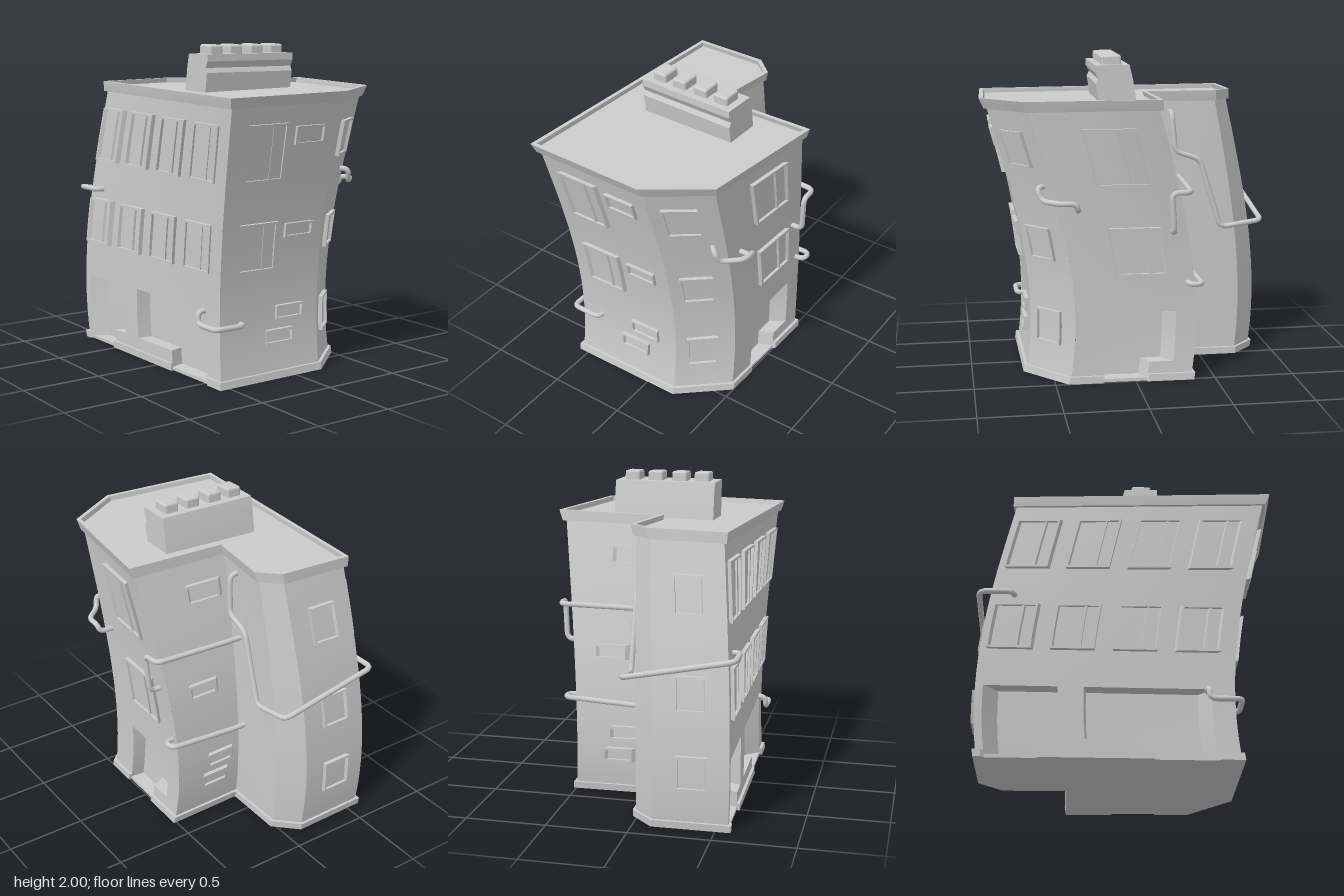
import * as THREE from 'three';
import { toCreasedNormals } from 'three/addons/utils/BufferGeometryUtils.js';
import { RoundedBoxGeometry } from 'three/addons/geometries/RoundedBoxGeometry.js';

const material = new THREE.MeshStandardMaterial({ color: 0xcccccc });

// Footprint corners [x, z] at ground and at cornice, counter-clockwise from above, front right corner first
const BASE = [[-.855, .575], [.665, .55], [.66, -.195], [.41, -.485], [-.345, -.5], [-.335, -.01], [-.735, -.01], [-.86, .12]];
const TOP = [[-.685, .505], [.85, .605], [.88, -.165], [.65, -.51], [-.12, -.61], [-.13, .025], [-.575, -.04], [-.67, .065]];
const N = BASE.length;
const [FRONT, LEFT, CHAMFER, BACK, NOTCH, , , RIGHT] = [0, 1, 2, 3, 4, 5, 6, 7];

// The bend: how far the footprint has moved from BASE to TOP at height y
const bend = y => -.8438 * y + 1.2847 * y * y - .2602 * y ** 3;

function plan(i, y) {
  const k = (i + N) % N, t = bend(y);
  return new THREE.Vector2(BASE[k][0] + (TOP[k][0] - BASE[k][0]) * t, BASE[k][1] + (TOP[k][1] - BASE[k][1]) * t);
}

// Corner i at height y, pushed out by d along its mitre
function corner(i, y, d) {
  const p = plan(i, y);
  const out = (a, b) => { const e = b.clone().sub(a).normalize(); return new THREE.Vector2(-e.y, e.x); };
  const n1 = out(plan(i - 1, y), p), n2 = out(p, plan(i + 1, y));
  p.addScaledVector(n1.clone().add(n2), d / (1 + n1.dot(n2)));
  return new THREE.Vector3(p.x, y + bend(y) * (-.012 * p.x - .018 * p.y), p.y);
}

// Point on a wall: u runs left to right seen from outside, d is outward
const onWall = (side, u, y, d) => corner(side, y, d).lerp(corner(side + 1, y, d), u);

const addQuad = (list, a, b, c, d) => list.push(a, b, c, a, c, d);

function meshFrom(points, name) {
  const geometry = toCreasedNormals(new THREE.BufferGeometry().setFromPoints(points), .35);
  const mesh = new THREE.Mesh(geometry, material);
  mesh.name = name;
  return mesh;
}

function subdivide(values, step) {
  const sorted = [...new Set(values)].sort((a, b) => a - b), result = [sorted[0]];
  for (let i = 1; i < sorted.length; i++) {
    const a = sorted[i - 1], b = sorted[i], n = Math.ceil((b - a) / step);
    for (let k = 1; k <= n; k++) result.push(a + (b - a) * k / n);
  }
  return result;
}

// Stepped relief on a wall: each cell lies at its own depth, with steps between cells
function relief(side, us, ys, depth, border, name) {
  const U = [...us].sort((a, b) => a - b), Y = subdivide(ys, .085), points = [];
  const P = (u, y, d) => onWall(side, u, y, d);
  const at = (i, j) => i < 0 || j < 0 || i > U.length - 2 || j > Y.length - 2
    ? border : depth((U[i] + U[i + 1]) / 2, (Y[j] + Y[j + 1]) / 2);
  const differ = (a, b) => a !== null && b !== null && a !== b;
  for (let i = 0; i < U.length; i++) for (let j = 0; j < Y.length; j++) {
    const here = at(i, j), before = at(i - 1, j), below = at(i, j - 1);
    const u = U[i], v = U[i + 1], y = Y[j], z = Y[j + 1];
    if (i < U.length - 1 && j < Y.length - 1)
      addQuad(points, P(u, y, here), P(v, y, here), P(v, z, here), P(u, z, here));
    if (j < Y.length - 1 && differ(before, here))
      addQuad(points, P(u, y, before), P(u, y, here), P(u, z, here), P(u, z, before));
    if (i < U.length - 1 && differ(below, here))
      addQuad(points, P(u, y, below), P(v, y, below), P(v, y, here), P(u, y, here));
  }
  return meshFrom(points, name);
}

// Wall with recessed openings [u0, u1, y0, y1]
function wall(side, openings) {
  const us = new Set([0, 1]), ys = [0, 1.7];
  for (const [a, b, c, d] of openings) { us.add(a).add(b); ys.push(c, d); }
  const depth = (u, y) => openings.some(([a, b, c, d]) => u > a && u < b && y > c && y < d) ? -.09 : 0;
  return relief(side, us, ys, depth, null, 'wall');
}

// Raised window frame with a pane and an optional mullion
function windowOn(side, u0, u1, y0, y1, mullion) {
  const f = .014, w = f / plan(side, y0).distanceTo(plan(side + 1, y0));
  const us = [u0, u0 + w, u1 - w, u1], m = u0 + (u1 - u0) * .66;
  if (mullion) us.push(m - w / 2, m + w / 2);
  const depth = (u, y) => u < u0 + w || u > u1 - w || y < y0 + f || y > y1 - f ? .026
    : mullion && Math.abs(u - m) < w / 2 ? .02 : .008;
  return relief(side, us, [y0, y0 + f, y1 - f, y1], depth, -.004, 'window');
}

// Bands around the whole footprint through successive [y, d] rings
function bands(rings, name) {
  const points = [];
  for (let r = 1; r < rings.length; r++) for (let i = 0; i < N; i++) {
    const [y0, d0] = rings[r - 1], [y1, d1] = rings[r];
    addQuad(points, corner(i, y0, d0), corner(i + 1, y0, d0), corner(i + 1, y1, d1), corner(i, y1, d1));
  }
  return meshFrom(points, name);
}

function cap(y, d, up, name) {
  const ring = BASE.map((_, i) => corner(i, y, d)), points = [];
  for (const [a, b, c] of THREE.ShapeUtils.triangulateShape(ring.map(p => new THREE.Vector2(p.x, -p.z)), []))
    points.push(ring[a], ring[up ? b : c], ring[up ? c : b]);
  return meshFrom(points, name);
}

// Tube along straight runs with rounded elbows
function pipe(coords) {
  const p = coords.map(c => new THREE.Vector3(...c)), path = new THREE.CurvePath();
  let from = p[0];
  for (let i = 1; i < p.length - 1; i++) {
    const near = q => p[i].clone().add(q.clone().sub(p[i]).setLength(Math.min(.045, p[i].distanceTo(q) * .45)));
    const a = near(p[i - 1]), b = near(p[i + 1]);
    path.add(new THREE.LineCurve3(from, a));
    path.add(new THREE.QuadraticBezierCurve3(a, p[i], b));
    from = b;
  }
  path.add(new THREE.LineCurve3(from, p[p.length - 1]));
  const mesh = new THREE.Mesh(new THREE.TubeGeometry(path, 90, .017, 10), material);
  mesh.name = 'pipe';
  return mesh;
}

function chimney() {
  const group = new THREE.Group();
  group.name = 'chimney';
  // Leaning stack with a shoulder
  const profile = [[-.04, 1.7], [.19, 1.7], [.21, 1.83], [.195, 1.86], [.217, 1.9], [.217, 1.943], [.005, 1.943], [-.015, 1.86]];
  const shape = new THREE.Shape(profile.map(q => new THREE.Vector2(...q)));
  const geometry = new THREE.ExtrudeGeometry(shape, { depth: .64, bevelEnabled: false });
  const stack = new THREE.Mesh(toCreasedNormals(geometry.translate(0, 0, -.32), .3), material);
  stack.name = 'chimneyStack';
  group.add(stack);
  // Four pots in a row
  for (const z of [-.225, -.075, .08, .225]) {
    const pot = new THREE.Mesh(new RoundedBoxGeometry(.125, .09, .097, 2, .015), material);
    pot.name = 'chimneyPot';
    pot.position.set(.112, 1.955, z);
    pot.rotation.z = -.04;
    group.add(pot);
  }
  group.rotation.y = -.03;
  return group;
}

export function createModel() {
  const model = new THREE.Group();
  model.name = 'crookedTownHouse';

  // Walls; shop fronts and back door are L-shaped recesses
  const openings = {
    [FRONT]: [[.03, .23, .02, .44], [.23, .315, .12, .44], [.415, .667, .12, .44], [.667, .91, .02, .44]],
    [BACK]: [[.27, .63, .02, .44], [.63, .83, .12, .44]],
  };
  const trimSpans = { [FRONT]: [[0, .03], [.23, .667], [.91, 1]], [BACK]: [[0, .27], [.63, 1]] };
  for (let side = 0; side < N; side++) {
    model.add(wall(side, openings[side] || []));
    for (const span of trimSpans[side] || [[0, 1]])
      model.add(relief(side, span, [0, .045], () => .018, 0, 'baseTrim'));
  }
  model.add(cap(0, 0, false, 'floor'));

  // Cornice, parapet and roof
  model.add(bands([[1.685, 0], [1.685, .018], [1.75, .03], [1.75, .004], [1.72, .004]], 'cornice'));
  model.add(cap(1.72, .004, true, 'roof'));

  // Large windows in two storeys
  for (const [y0, y1] of [[.675, .975], [1.23, 1.58]]) {
    for (let i = 0; i < 4; i++) model.add(windowOn(FRONT, .037 + .24 * i, .207 + .24 * i, y0, y1, true));
    model.add(windowOn(LEFT, .165, .52, y0, y1, true));
    model.add(windowOn(BACK, .36, .77, y0, y1, true));
  }
  // Plain windows
  for (const [y0, y1] of [[.225, .44], [.76, .965], [1.34, 1.56]]) model.add(windowOn(CHAMFER, .19, .7, y0, y1));
  for (const [y0, y1] of [[.25, .46], [.72, .93], [1.27, 1.5]]) model.add(windowOn(RIGHT, .3, .7, y0, y1));
  // Small vents: height, then start on the left wall and on the notch wall
  for (const [y0, y1, a, b] of [[.21, .3, .455, .42], [.355, .445, .555, .5], [.865, .955, .6, .32], [1.44, 1.555, .6, .52]]) {
    model.add(windowOn(LEFT, a, a + .27, y0, y1));
    model.add(windowOn(NOTCH, b, b + .4, y0, y1));
  }

  model.add(chimney());

  // Pipes that wrap around the corners
  model.add(pipe([[.48, .44, .5], [.48, .44, .59], [.49, .365, .595], [.675, .365, .595], [.675, .365, .39], [.6, .365, .39]]));
  model.add(pipe([[-.3, 1.62, .06], [-.3, 1.62, -.05], [-.32, 1.37, -.06], [-.48, 1.32, -.065], [-.62, .87, -.065],
    [-.89, .91, -.06], [-.885, 1.04, .61], [-.68, 1.04, .61], [-.67, 1.04, .53]]));
  model.add(pipe([[-.35, 1.2, .03], [-.35, 1.2, -.1], [-.32, 1.2, -.595], [-.2, 1.2, -.6], [-.22, .95, -.585], [-.22, .95, -.48]]));
  model.add(pipe([[-.42, .6, .03], [-.42, .6, -.1], [-.405, .62, -.545], [-.33, .62, -.55], [-.32, .62, -.46]]));
  model.add(pipe([[.52, 1.23, -.4], [.6, 1.23, -.47], [.57, 1.15, -.49], [.47, 1.15, -.6], [.38, 1.15, -.6], [.36, 1.1, -.585], [.36, 1.1, -.46]]));
  return model;
}
